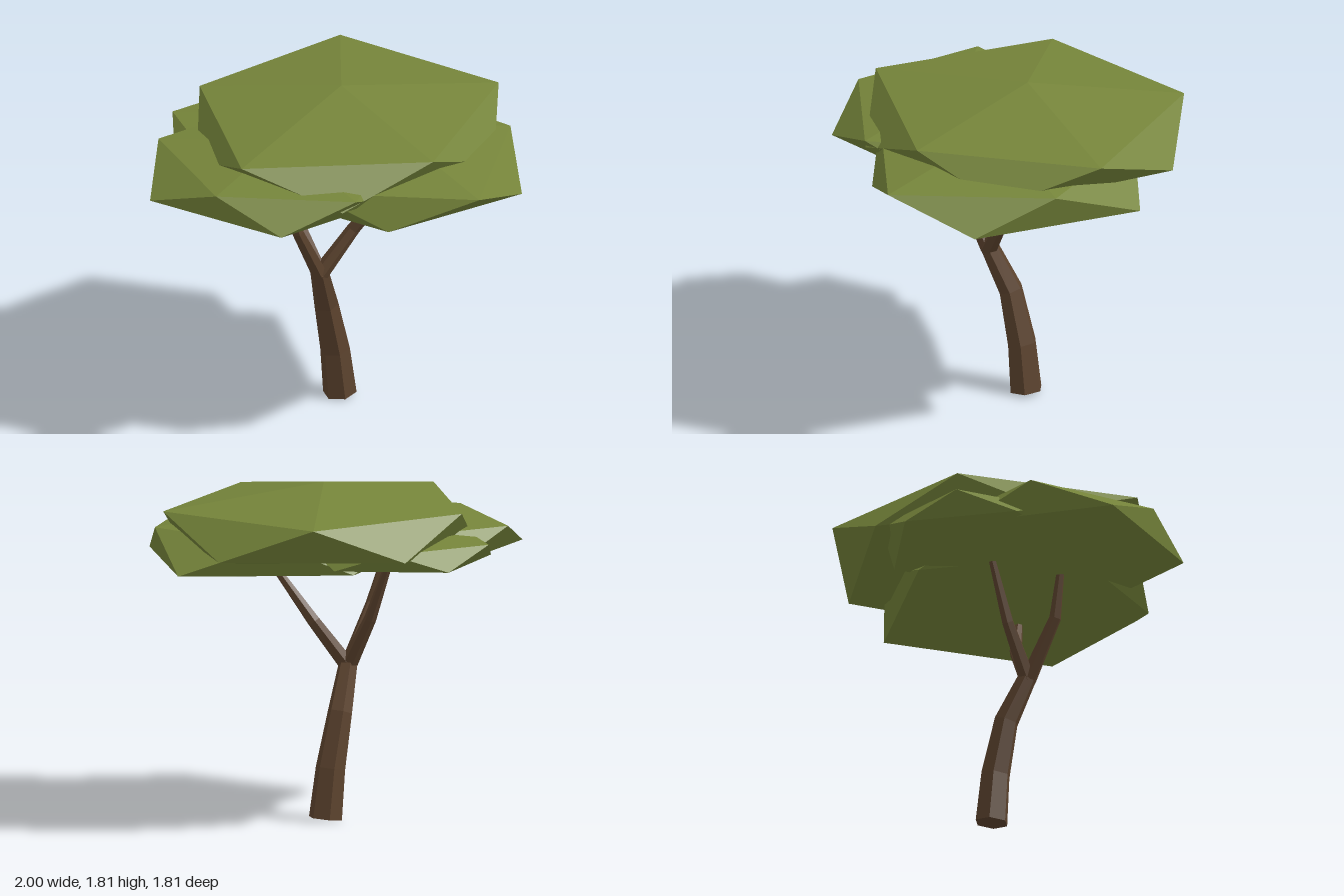
import * as THREE from 'three';

const bark = new THREE.MeshStandardMaterial({ color: 0x5c432e, flatShading: true });
bark.name = 'bark brown';
const leaf = new THREE.MeshStandardMaterial({ color: 0x75843a, flatShading: true });
leaf.name = 'leaf green';

const UP = new THREE.Vector3(0, 1, 0);

// Tapered, bent limb: each node is [x, y, z, radius]
function limb(name, nodes, sides) {
  const last = nodes.length - 1;
  const points = nodes.map(([x, y, z]) => new THREE.Vector3(x, y, z));
  const turns = points.map((p, i) => {
    const tangent = points[Math.min(i + 1, last)].clone().sub(points[Math.max(i - 1, 0)]);
    return new THREE.Quaternion().setFromUnitVectors(UP, tangent.normalize());
  });
  const geometry = new THREE.CylinderGeometry(1, 1, 1, sides, last);
  const pos = geometry.attributes.position;
  const v = new THREE.Vector3();
  for (let i = 0; i < pos.count; i++) {
    v.fromBufferAttribute(pos, i);
    const row = Math.round((v.y + 0.5) * last);
    v.setY(0).multiplyScalar(nodes[row][3]).applyQuaternion(turns[row]).add(points[row]);
    pos.setXYZ(i, v.x, v.y, v.z);
  }
  geometry.computeVertexNormals();
  const mesh = new THREE.Mesh(geometry, bark);
  mesh.name = name;
  return mesh;
}

// Flattened, uneven icosahedron: two staggered five-point rings between two tips
function canopy(name, center, halfHeight, upperRadii, lowerRadii) {
  const ring = (radii, offset, y) => radii.map((r, i) => {
    const a = THREE.MathUtils.degToRad(72 * i + offset);
    return [r * Math.cos(a), y, r * Math.sin(a)];
  });
  const top = [0, halfHeight, 0];
  const bottom = [0, -halfHeight, 0];
  const upper = ring(upperRadii, 0, 0.447 * halfHeight);
  const lower = ring(lowerRadii, 36, -0.447 * halfHeight);
  const corners = [];
  for (let i = 0; i < 5; i++) {
    const j = (i + 1) % 5;
    corners.push(
      top, upper[j], upper[i],
      upper[i], upper[j], lower[i],
      lower[i], upper[j], lower[j],
      bottom, lower[i], lower[j],
    );
  }
  const geometry = new THREE.BufferGeometry();
  geometry.setAttribute('position', new THREE.Float32BufferAttribute(corners.flat(), 3));
  geometry.computeVertexNormals();
  const mesh = new THREE.Mesh(geometry, leaf);
  mesh.name = name;
  mesh.position.set(...center);
  return mesh;
}

export function createModel() {
  const tree = new THREE.Group();
  tree.name = 'tree';

  // Leaning trunk
  tree.add(limb('trunk', [
    [0.12, 0.015, -0.12, 0.09],
    [0.09, 0.28, -0.11, 0.08],
    [0.03, 0.57, -0.075, 0.066],
    [-0.04, 0.82, 0.02, 0.05],
  ], 6));

  // Three forking branches
  tree.add(limb('rightLeaningBranch', [
    [-0.035, 0.8, 0.02, 0.045], [0.145, 1.04, 0.03, 0.035], [0.33, 1.32, 0.13, 0.02],
  ], 6));
  tree.add(limb('leftLeaningBranch', [
    [-0.04, 0.8, 0.02, 0.045], [-0.19, 1.11, 0.11, 0.033], [-0.27, 1.38, 0.11, 0.02],
  ], 6));
  tree.add(limb('backBranch', [
    [-0.04, 0.8, 0.02, 0.045], [-0.12, 1.07, -0.13, 0.033], [-0.19, 1.38, -0.25, 0.02],
  ], 6));

  // Layered foliage
  tree.add(canopy('topCanopy', [0.13, 1.59, -0.125], 0.22,
    [0.87, 0.81, 0.9, 0.78, 0.83], [0.84, 0.86, 0.8, 0.8, 0.86]));
  tree.add(canopy('frontCanopy', [0.3, 1.47, 0.13], 0.2,
    [0.68, 0.81, 0.7, 0.72, 0.72], [0.74, 0.67, 0.72, 0.72, 0.84]));
  tree.add(canopy('sideCanopy', [-0.28, 1.49, 0.09], 0.165,
    [0.66, 0.67, 0.58, 0.67, 0.66], [0.66, 0.66, 0.72, 0.66, 0.66]));
  tree.add(canopy('backCanopy', [-0.21, 1.475, -0.34], 0.12,
    [0.51, 0.51, 0.51, 0.52, 0.51], [0.51, 0.51, 0.51, 0.51, 0.51]));

  return tree;
}
